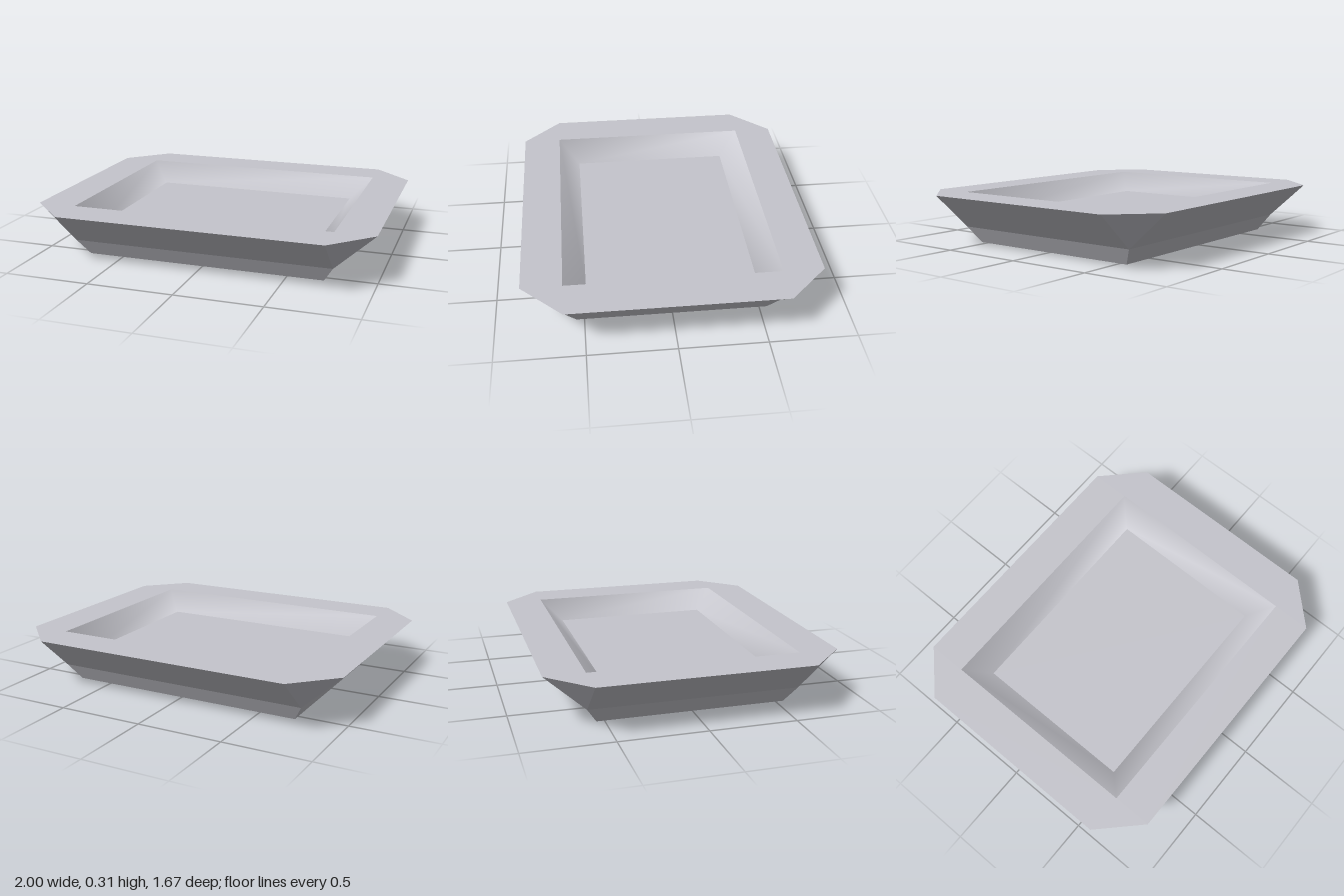
import * as THREE from 'three';
import { mergeVertices } from 'three/addons/utils/BufferGeometryUtils.js';

const SIGNS = [[1, 1], [1, -1], [-1, -1], [-1, 1]];

// Four corners of a rectangle at height y, counter-clockwise from above
const ring = (x, y, z) => SIGNS.map(([sx, sz]) => [sx * x, y, sz * z]);

// Flat-faced geometry from convex polygons
function polygons(faces) {
  const points = [];
  for (const f of faces) {
    for (let k = 1; k < f.length - 1; k++) points.push(...f[0], ...f[k], ...f[k + 1]);
  }
  const geometry = new THREE.BufferGeometry();
  geometry.setAttribute('position', new THREE.Float32BufferAttribute(points, 3));
  geometry.computeVertexNormals();
  return geometry;
}

// Four sloping quads between two rings
const band = (a, b) => a.map((p, i) => {
  const j = (i + 1) % 4;
  return [p, a[j], b[j], b[i]];
});

export function createModel() {
  const group = new THREE.Group();
  group.name = 'tray';
  const grey = new THREE.MeshStandardMaterial({ color: 0xc5c5cc });
  grey.name = 'pale grey';

  const add = (name, geometry) => {
    const mesh = new THREE.Mesh(geometry, grey);
    mesh.name = name;
    group.add(mesh);
  };

  const base = ring(0.71, 0, 0.545);
  const waist = ring(0.77, 0.097, 0.606);
  const lip = ring(0.77, 0.305, 0.606);
  const floor = ring(0.645, 0.184, 0.481);

  // Clipped corners of the rim: the ends of the long and short outer edges
  const longEnds = ring(0.77, 0.305, 0.836);
  const shortEnds = ring(1, 0.305, 0.606);
  const first = SIGNS.map((_, i) => (i % 2 ? shortEnds[i] : longEnds[i]));
  const second = SIGNS.map((_, i) => (i % 2 ? longEnds[i] : shortEnds[i]));

  const flare = [], rim = [];
  for (let i = 0; i < 4; i++) {
    const j = (i + 1) % 4;
    flare.push([waist[i], waist[j], first[j], second[i]], [waist[i], second[i], first[i]]);
    rim.push([second[i], first[j], lip[j], lip[i]], [lip[i], first[i], second[i]]);
  }

  add('underside', polygons([[...base].reverse()]));
  add('foot', polygons(band(base, waist)));
  add('flaredSides', polygons(flare));
  add('rim', polygons(rim));
  add('floor', polygons([floor]));

  // Inner walls share corner points, so their shading blends round the corners
  const walls = polygons(band(lip, floor));
  walls.deleteAttribute('normal');
  const smoothWalls = mergeVertices(walls);
  smoothWalls.computeVertexNormals();
  add('innerWalls', smoothWalls);

  return group;
}
